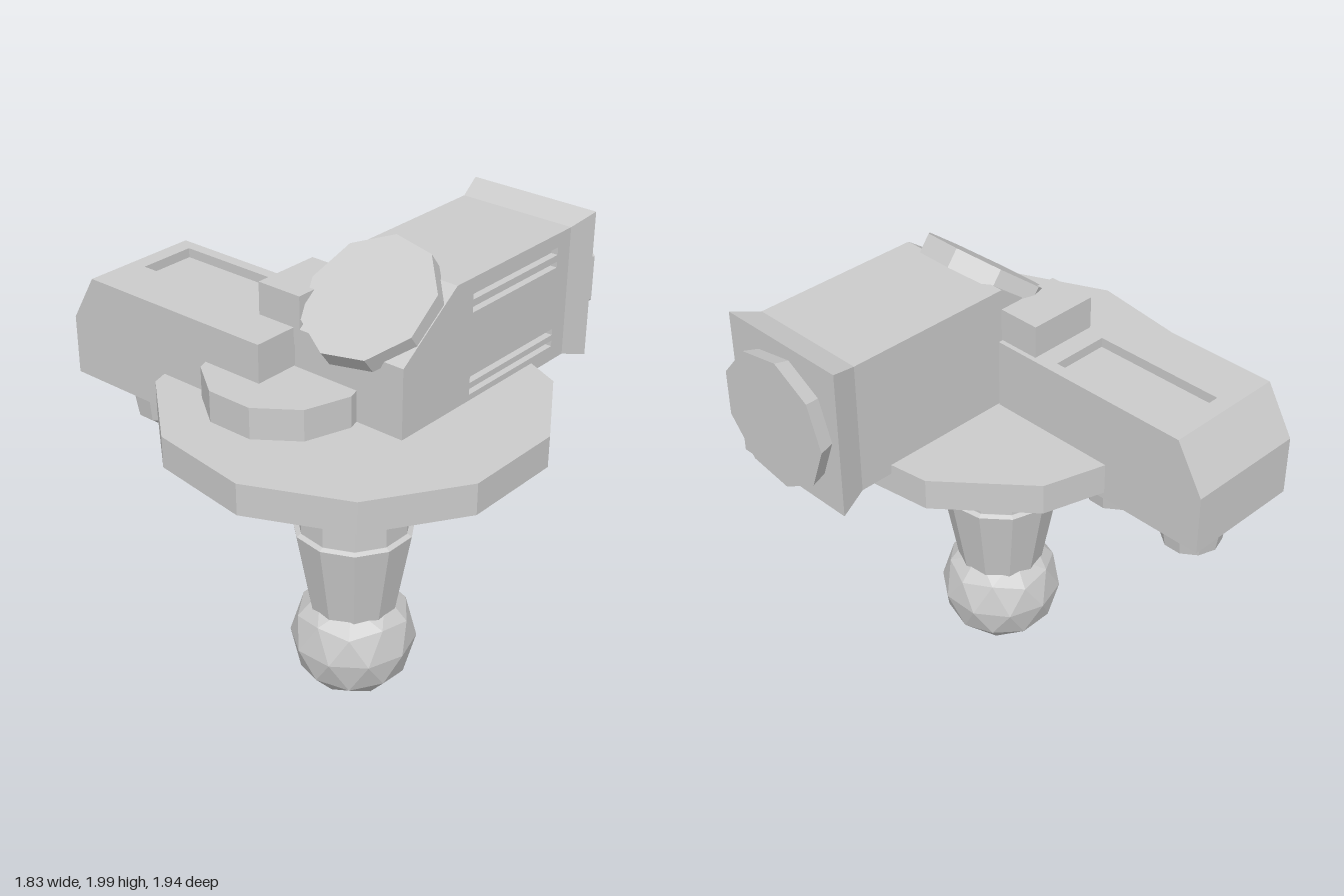
import * as THREE from 'three';

const material = new THREE.MeshStandardMaterial({ color: 0xcccccc, flatShading: true });

function add(parent, name, geometry, x = 0, y = 0, z = 0) {
  const mesh = new THREE.Mesh(geometry, material);
  mesh.name = name;
  mesh.position.set(x, y, z);
  parent.add(mesh);
  return mesh;
}

// Faceted prism or cone with one corner pointing to -z
const prism = (rTop, rBottom, height, sides) =>
  new THREE.CylinderGeometry(rTop, rBottom, height, sides, 1, false, Math.PI);

const polygon = (points) => new THREE.Shape(points.map(([x, y]) => new THREE.Vector2(x, y)));

const extrude = (shape, depth) =>
  new THREE.ExtrudeGeometry(shape, { depth, bevelEnabled: false });

// Box given by its limits on each axis
function box(parent, name, [x0, x1], [y0, y1], [z0, z1]) {
  return add(parent, name, new THREE.BoxGeometry(x1 - x0, y1 - y0, z1 - z0),
    (x0 + x1) / 2, (y0 + y1) / 2, (z0 + z1) / 2);
}

export function createModel() {
  const model = new THREE.Group();
  model.name = 'turret';
  const cx = -0.147, cz = 0.217;

  // Round platform and stepped stem: [name, top radius, bottom radius, bottom y, top y]
  for (const [name, rTop, rBottom, y0, y1] of [
    ['platform', 0.78, 0.78, 1.25, 1.38],
    ['stemCollar', 0.249, 0.249, 0.94, 1.26],
    ['stemCollarBevel', 0.249, 0.232, 0.925, 0.94],
    ['stemNeck', 0.23, 0.23, 0.8, 0.94],
    ['stemTaper', 0.25, 0.178, 0.4, 0.8],
    ['stemTaperBevel', 0.232, 0.25, 0.8, 0.81],
  ]) add(model, name, prism(rTop, rBottom, y1 - y0, 11), cx, (y0 + y1) / 2, cz);

  // Ball foot, with a corner at the pole
  const ball = new THREE.IcosahedronGeometry(0.262, 1);
  ball.rotateX(-Math.atan((1 + Math.sqrt(5)) / 2)).rotateY(Math.PI / 2);
  add(model, 'ballFoot', ball, cx, 0.267, cz);

  // Low side disc on the platform
  add(model, 'sideDisc', prism(0.324, 0.324, 0.15, 10), -0.352, 1.435, 0.05);

  // Rear housing: side profile as [-z, y], cut into strips so the middle has a recess
  const rear = new THREE.Group();
  rear.name = 'rearHousing';
  model.add(rear);
  const outline = [[-0.05, 1.3], [0.12, 1.3], [0.12, 1.22], [0.97, 1.22], [0.97, 1.47], [0.85, 1.67]];
  const recess = [[0.78, 1.67], [0.78, 1.63], [0.21, 1.63], [0.21, 1.67]];
  const strips = [[-0.5, -0.28, []], [-0.28, -0.03, recess], [-0.03, 0.02, []]];
  for (const [x0, x1, notch] of strips) {
    const geometry = extrude(polygon([...outline, ...notch, [-0.05, 1.67]]), x1 - x0);
    add(rear, 'housingSection', geometry.rotateY(Math.PI / 2), x0);
  }
  box(rear, 'topBlock', [-0.305, 0], [1.6, 1.805], [-0.125, 0.08]);

  // Two pointed nozzles under the rear housing
  for (const z of [-0.35, -0.745]) {
    const nozzle = new THREE.Group();
    nozzle.name = 'nozzle';
    nozzle.position.set(-0.24, 0, z);
    rear.add(nozzle);
    add(nozzle, 'nozzleBody', prism(0.155, 0.12, 0.22, 10), 0, 1.13, 0);
    add(nozzle, 'nozzleTip', prism(0.12, 0, 0.09, 10), 0, 0.975, 0);
  }

  // Front housing: solid core plus a face plate with slots
  const front = new THREE.Group();
  front.name = 'frontHousing';
  model.add(front);
  const side = [[-0.305, 1.34], [0.73, 1.34], [0.73, 1.89], [0, 1.89], [-0.305, 1.67]];
  add(front, 'housingCore', extrude(polygon(side), 0.49), 0, 0, 0.055);
  const plate = polygon(side);
  for (const [y0, y1] of [[1.405, 1.43], [1.455, 1.482], [1.747, 1.772], [1.8, 1.832]]) {
    plate.holes.push(polygon([[0.1, y0], [0.1, y1], [0.647, y1], [0.647, y0]]));
  }
  add(front, 'slottedPlate', extrude(plate, 0.03), 0, 0, 0.545);

  // Flared end: a box whose outer face is widened
  const flare = new THREE.BoxGeometry(0.12, 0.55, 0.52);
  const p = flare.attributes.position;
  for (let i = 0; i < p.count; i++) {
    if (p.getX(i) > 0) p.setXYZ(i, p.getX(i), p.getY(i) * 1.135, p.getZ(i) * 1.13);
  }
  add(front, 'flaredEnd', flare, 0.79, 1.615, 0.315);

  // Lens on the flared end
  const lens = prism(0.278, 0.258, 0.07, 9).rotateZ(-Math.PI / 2);
  add(front, 'lens', lens, 0.88, 1.615, 0.318);

  // Tilted round panel on the sloping back of the front housing
  const panel = prism(0.274, 0.274, 0.08, 9).rotateZ(THREE.MathUtils.degToRad(37.5));
  add(front, 'tiltedPanel', panel, -0.16, 1.801, 0.313);

  return model;
}
